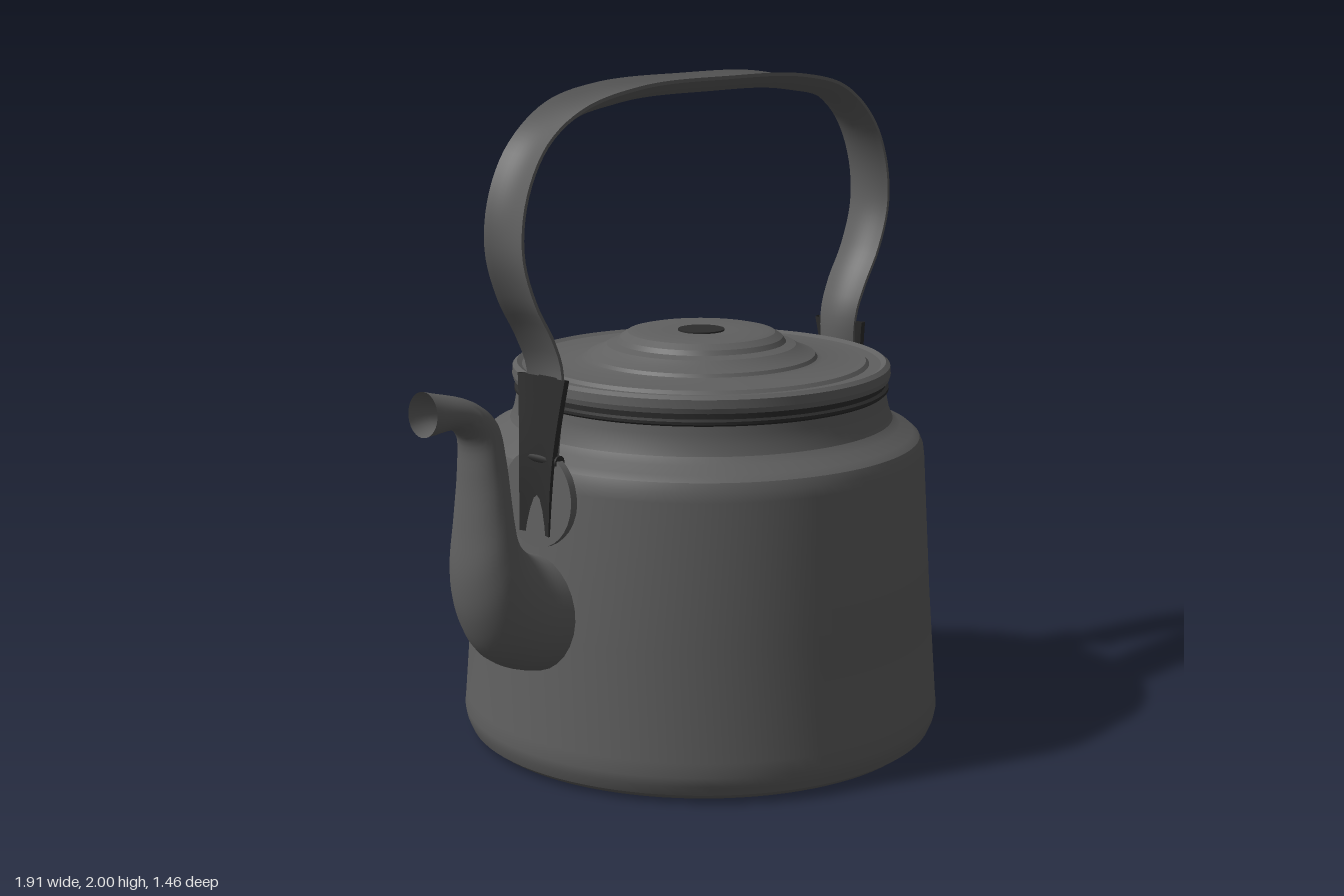
import * as THREE from 'three';
import { toCreasedNormals } from 'three/addons/utils/BufferGeometryUtils.js';

const CX = 0.15; // axis of the pot

const V = (x, y, z = 0) => new THREE.Vector3(x, y, z);

// Surface through a list of closed rings of points
function loft(rings, crease = 0.7) {
  const n = rings[0].length;
  const index = [];
  for (let i = 0; i < rings.length - 1; i++) {
    for (let j = 0; j < n; j++) {
      const a = i * n + j, b = i * n + (j + 1) % n;
      index.push(a, a + n, b, b, a + n, b + n);
    }
  }
  const geo = new THREE.BufferGeometry().setFromPoints(rings.flat());
  geo.setIndex(index);
  return toCreasedNormals(geo, crease);
}

function turned(profile, crease = 0.45) {
  const points = profile.map(([r, y]) => new THREE.Vector2(r, y));
  return toCreasedNormals(new THREE.LatheGeometry(points, 96), crease);
}

// Dished strap swept along a path; the hollow faces away from the pot
function strap(points, steps, halfWidth, sag, thick = 0.01) {
  const curve = new THREE.CatmullRomCurve3(points);
  const rings = [];
  for (let i = 0; i <= steps; i++) {
    const t = i / steps;
    const p = curve.getPointAt(t);
    const inward = curve.getTangentAt(t).cross(V(0, 0, 1)).normalize();
    const w = halfWidth(t), s = sag(t);
    const ring = [];
    const add = (u, extra) => ring.push(
      p.clone().addScaledVector(inward, s * (1 - u * u) + extra).add(V(0, 0, u * w)));
    for (let k = -5; k <= 5; k++) add(k / 5, thick);
    for (let k = 5; k >= -5; k--) add(k / 5, 0);
    rings.push(ring);
  }
  return loft(rings);
}

function material(name, color) {
  const m = new THREE.MeshStandardMaterial({ color, side: THREE.DoubleSide });
  m.name = name;
  return m;
}

export function createModel() {
  const model = new THREE.Group();
  model.name = 'kettle';
  const metal = material('grey metal', 0x606060);
  const dark = material('dark metal', 0x2c2c2c);

  const add = (name, geo, mat, x = 0, y = 0, z = 0) => {
    const mesh = new THREE.Mesh(geo, mat);
    mesh.name = name;
    mesh.position.set(x, y, z);
    model.add(mesh);
    return mesh;
  };

  // Pot with rounded foot, sloping wall, shoulder and neck
  add('body', turned([
    [0, 0.005], [0.66, 0.005], [0.685, 0.012], [0.71, 0.03], [0.723, 0.06], [0.728, 0.088],
    [0.724, 0.13], [0.70, 0.45], [0.675, 0.87], [0.671, 0.90], [0.66, 0.925],
    [0.64, 0.942], [0.60, 0.96], [0.578, 0.98], [0.566, 1.01], [0.56, 1.04], [0.557, 1.065],
  ]), metal, CX);
  add('neckBead', turned([
    [0.557, 1.062], [0.564, 1.068], [0.564, 1.076], [0.555, 1.082], [0.555, 1.1],
  ]), dark, CX);

  // Stepped lid with a low domed centre
  add('lid', turned([
    [0.545, 1.098], [0.566, 1.1], [0.57, 1.115], [0.568, 1.14], [0.555, 1.15], [0.54, 1.142],
    [0.505, 1.142], [0.495, 1.152], [0.365, 1.155], [0.35, 1.16], [0.343, 1.17],
    [0.31, 1.182], [0.285, 1.198], [0.255, 1.206], [0.245, 1.22],
    [0.222, 1.235], [0.20, 1.24], [0.10, 1.238], [0, 1.236],
  ], 0.3), metal, CX);
  add('lidCentre', new THREE.CylinderGeometry(0.07, 0.07, 0.008, 48), dark, CX, 1.238);

  // Spout given by its outer edge, inner edge and half width
  const sections = [
    [-0.52, 0.33, -0.50, 0.67, 0.15], [-0.64, 0.36, -0.58, 0.69, 0.14],
    [-0.74, 0.42, -0.64, 0.74, 0.132], [-0.80, 0.53, -0.665, 0.79, 0.122],
    [-0.82, 0.65, -0.67, 0.84, 0.11], [-0.81, 0.80, -0.675, 0.90, 0.095],
    [-0.80, 0.95, -0.685, 1.00, 0.08], [-0.805, 1.05, -0.71, 1.10, 0.07],
    [-0.85, 1.09, -0.78, 1.16, 0.065], [-0.955, 1.085, -0.945, 1.21, 0.06],
  ];
  const outer = new THREE.CatmullRomCurve3(sections.map(s => V(s[0], s[1], s[4])));
  const inner = new THREE.CatmullRomCurve3(sections.map(s => V(s[2], s[3], s[4])));
  const rings = [];
  for (let i = 0; i <= 45; i++) {
    const o = outer.getPoint(i / 45), n = inner.getPoint(i / 45);
    const ring = [];
    for (let j = 0; j < 28; j++) {
      const a = j / 28 * Math.PI * 2, c = 0.5 + 0.5 * Math.cos(a);
      ring.push(V(o.x + (n.x - o.x) * c, o.y + (n.y - o.y) * c, Math.sin(a) * o.z));
    }
    rings.push(ring);
  }
  add('spout', loft(rings, 1.2), metal);

  // Bail handle, symmetric about the pot axis
  const half = [
    [0.665, 0.95], [0.652, 1.2], [0.69, 1.3], [0.755, 1.41], [0.80, 1.55],
    [0.785, 1.7], [0.71, 1.84], [0.57, 1.94], [0.35, 1.99],
  ];
  const path = [
    ...half.map(([r, y]) => V(CX - r, y)), V(CX, 2),
    ...half.reverse().map(([r, y]) => V(CX + r, y)),
  ];
  const grip = t => THREE.MathUtils.smoothstep(0.22 - Math.abs(t - 0.5), 0, 0.1);
  const spread = t => THREE.MathUtils.smoothstep(0.5 - Math.abs(t - 0.5), 0, 0.12);
  add('handle', strap(path, 110,
    t => 0.06 + 0.016 * spread(t) + 0.02 * grip(t),
    t => 0.018 + 0.022 * grip(t)), metal);

  // Handle brackets on both sides
  for (const side of [-1, 1]) {
    const name = side > 0 ? 'left' : 'right';
    const legs = [V(CX + side * 0.698, 0.74), V(CX + side * 0.692, 0.92), V(CX + side * 0.664, 1.19)];
    if (side > 0) legs.reverse();
    const up = t => (side > 0 ? 1 - t : t);
    add(name + 'Bracket',
      strap(legs, 16, t => 0.06 + 0.036 * up(t) ** 2, () => 0.01, 0.018), dark);

    const plate = add(name + 'Lug', new THREE.CylinderGeometry(0.14, 0.14, 0.024, 32),
      metal, CX + side * 0.674, 0.84);
    plate.rotation.z = Math.PI / 2 + side * 0.065;

    const pin = add(name + 'Pin', new THREE.CylinderGeometry(0.018, 0.018, 0.15, 12),
      dark, CX + side * 0.665, 0.955);
    pin.rotation.x = Math.PI / 2;
  }

  return model;
}
